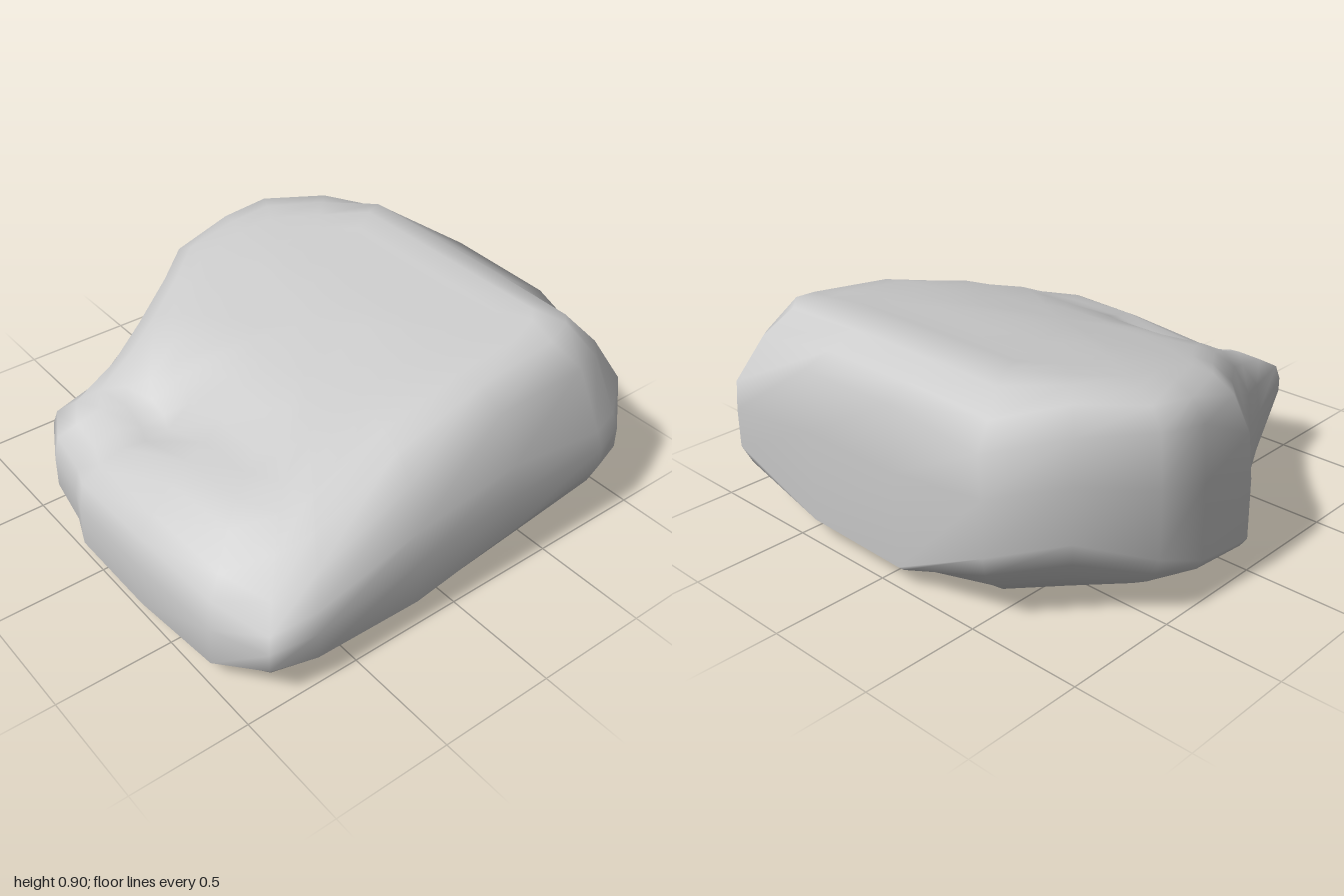
import * as THREE from 'three';

// Plan outline of the boulder: x, z, height of the lower bend, height of the upper bend
const OUTLINE = [
  [1, -0.78, 0.28, 0.48], [1, -0.3, 0.2, 0.54], [1, 0.2, 0.12, 0.47], [1, 0.68, 0.13, 0.35],
  [0.97, 0.88, 0.16, 0.32], [0.74, 0.98, 0.08, 0.38], [0.3, 1, 0.05, 0.38], [-0.14, 1, 0.05, 0.36],
  [-0.27, 0.95, 0.06, 0.33], [-0.42, 0.95, 0.14, 0.4], [-0.52, 0.89, 0.3, 0.45], [-0.59, 0.64, 0.14, 0.46],
  [-0.69, 0.43, 0.1, 0.52], [-0.86, 0.17, 0.12, 0.56], [-1, -0.01, 0.14, 0.6], [-1, -0.3, 0.17, 0.74],
  [-0.98, -0.53, 0.26, 0.78], [-0.78, -0.77, 0.34, 0.78], [-0.56, -1, 0.3, 0.74], [-0.1, -1, 0.09, 0.78],
  [0.4, -1, 0.1, 0.77], [0.88, -1, 0.25, 0.58], [0.95, -0.93, 0.28, 0.48],
];

// Height of the sloping top from back to front: z, y
const SLOPE = [[-1, 0.78], [-0.93, 0.84], [-0.76, 0.92], [-0.59, 0.89], [-0.2, 0.84], [0.23, 0.74],
  [0.48, 0.66], [0.55, 0.62], [0.77, 0.55], [0.82, 0.5], [0.95, 0.44], [1, 0.38]];

const dent = (x, z, cx, cz, rx, rz) => Math.exp(-(((x - cx) / rx) ** 2) - ((z - cz) / rz) ** 2);

function topHeight(x, z) {
  let i = 1;
  while (i < SLOPE.length - 1 && z > SLOPE[i][0]) i++;
  const [z0, y0] = SLOPE[i - 1], [z1, y1] = SLOPE[i];
  const y = THREE.MathUtils.mapLinear(z, z0, z1, y0, y1);
  // Gully beside the corner lump, and a shallow valley running on from it
  const worn = 0.13 * dent(x, z, -0.14, 0.63, 0.22, 0.17) + 0.03 * dent(x, z, 0.4, 0.48, 0.3, 0.1);
  // Front left shoulder falls away towards the side
  const shoulder = 0.4 * Math.max(0, x - 0.62) * THREE.MathUtils.smoothstep(z, -0.1, 0.5);
  return y - worn - shoulder;
}

const onTop = (p, x, z) => topHeight(x, z);
const towardsTop = (t) => (p, x, z) => THREE.MathUtils.lerp(p[3], topHeight(x, z), t);

// Rings from underside to crown: plan scale and height rule
const RINGS = [
  [0.4, () => 0.012],
  [0.78, (p) => 0.01 + p[2] * 0.12],
  [0.9, (p) => p[2] * 0.5],
  [0.97, (p) => p[2] * 0.8],
  [1, (p) => p[2] * 1.1],
  [1, (p) => p[2] * 0.4 + p[3] * 0.6],
  [0.98, (p) => p[3]],
  [0.9, towardsTop(0.68)],
  [0.8, towardsTop(0.96)],
  [0.7, onTop],
  [0.6, onTop],
  [0.5, onTop],
  [0.36, onTop],
  [0.2, onTop],
];

function boulderGeometry() {
  const n = OUTLINE.length;
  const positions = [0, 0.008, 0];
  for (const [scale, height] of RINGS) {
    for (const p of OUTLINE) {
      // The flat back stays full up to its rim
      const back = p[1] === -1 && scale === 0.98 ? 1 : scale;
      const x = p[0] * scale, z = p[1] * back;
      positions.push(x, height(p, x, z), z);
    }
  }
  positions.push(0, topHeight(0, 0), 0);

  const index = [];
  const crown = 1 + RINGS.length * n;
  const at = (ring, i) => 1 + ring * n + (i % n);
  for (let i = 0; i < n; i++) {
    index.push(0, at(0, i), at(0, i + 1));
    for (let r = 0; r < RINGS.length - 1; r++) {
      const a = at(r, i), b = at(r, i + 1), c = at(r + 1, i), d = at(r + 1, i + 1);
      index.push(a, c, b, b, c, d);
    }
    index.push(at(RINGS.length - 1, i), crown, at(RINGS.length - 1, i + 1));
  }
  const geometry = new THREE.BufferGeometry();
  geometry.setAttribute('position', new THREE.Float32BufferAttribute(positions, 3));
  geometry.setIndex(index);
  geometry.computeVertexNormals();
  return geometry;
}

export function createModel() {
  const group = new THREE.Group();
  group.name = 'rock';
  const boulder = new THREE.Mesh(boulderGeometry(), new THREE.MeshStandardMaterial({ color: 0xcccccc }));
  boulder.name = 'boulder';
  group.add(boulder);
  return group;
}
